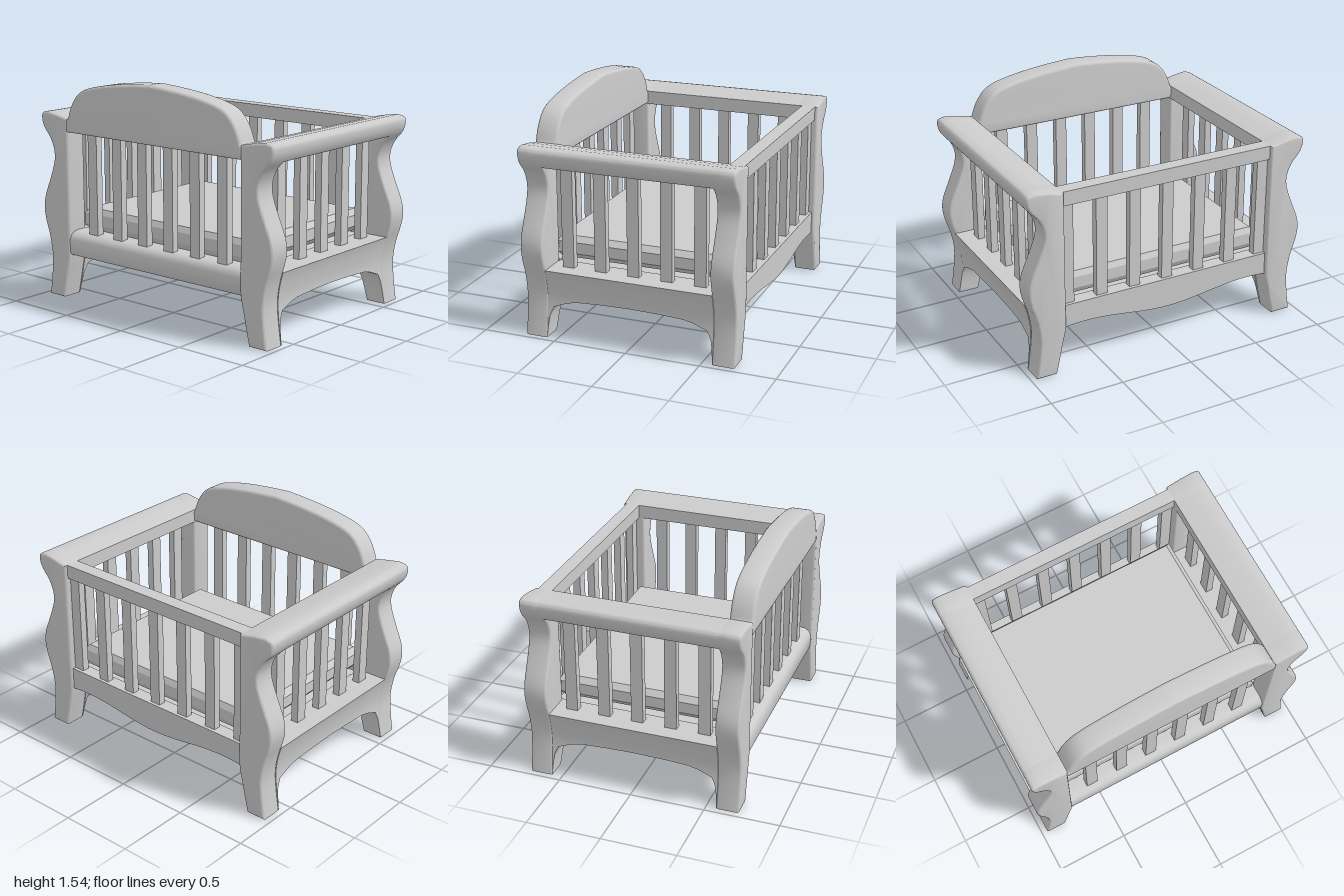
import * as THREE from 'three';
import { toCreasedNormals } from 'three/addons/utils/BufferGeometryUtils.js';

const material = new THREE.MeshStandardMaterial({ color: 0xcccccc, side: THREE.DoubleSide });
const vec = ([x, y]) => new THREE.Vector2(x, y);
const spline = (points, n) => new THREE.SplineCurve(points.map(vec)).getPoints(n);

// Outer edge of the end panels, from the foot to the scrolled top
const outerEdge = spline([[0.96, 0], [0.94, 0.14], [0.93, 0.28], [0.95, 0.41], [0.985, 0.52], [1, 0.61], [0.985, 0.7],
  [0.93, 0.83], [0.89, 0.94], [0.887, 1.02], [0.92, 1.1], [0.975, 1.165], [0.998, 1.22], [0.993, 1.27], [0.94, 1.285]], 56);
const innerEdge = [[0.82, 0], [0.795, 0.11], [0.772, 0.22], [0.755, 0.29], [0.75, 0.34], [0.75, 1.25]].map(vec);

// Piecewise linear x on an edge at height y
function edgeX(edge, y) {
  const i = Math.max(1, edge.findIndex((p) => p.y >= y));
  const a = edge[i - 1], b = edge[i];
  return a.x + (b.x - a.x) * (y - a.y) / (b.y - a.y);
}

function addMesh(parent, name, geometry) {
  const mesh = new THREE.Mesh(geometry, material);
  mesh.name = name;
  parent.add(mesh);
  return mesh;
}

function addBox(parent, name, size, position) {
  addMesh(parent, name, new THREE.BoxGeometry(...size)).position.set(...position);
}

// Extrude an x-y outline from z0 to z1, easing the edges inside the outline
function slab(points, z0, z1, bevel = 0) {
  const geometry = new THREE.ExtrudeGeometry(new THREE.Shape(points), {
    depth: z1 - z0 - 2 * bevel, bevelEnabled: bevel > 0, bevelSize: bevel,
    bevelThickness: bevel, bevelOffset: -bevel, bevelSegments: 3,
  });
  geometry.translate(0, 0, z0 + bevel);
  return toCreasedNormals(geometry, 0.7);
}

// Lower end rail: a bar whose underside arches between the legs
function archedRail() {
  const arch = [[0, 0.57], [0.07, 0.565], [0.15, 0.555], [0.21, 0.53], [0.245, 0.44], [0.262, 0.37],
    [0.271, 0.2], [0.275, 0]].map(([y, z]) => new THREE.Vector2(y, -z));
  const rows = 12;
  const outline = [];
  for (let i = 0; i <= rows; i++) outline.push(new THREE.Vector2(1, i / rows));
  for (let i = rows; i >= 0; i--) outline.push(new THREE.Vector2(0, i / rows));
  const geometry = new THREE.ExtrudeGeometry(new THREE.Shape(outline), { depth: 1, steps: 40, bevelEnabled: false });
  const p = geometry.attributes.position;
  for (let i = 0; i < p.count; i++) {
    const z = 0.57 * Math.sin((p.getZ(i) - 0.5) * Math.PI);
    const low = edgeX(arch, -Math.abs(z));
    const y = low + p.getY(i) * (0.467 - low);
    const inner = edgeX(innerEdge, y), outer = edgeX(outerEdge, y);
    p.setXYZ(i, inner + p.getX(i) * (outer - inner), y, z);
  }
  return toCreasedNormals(geometry, 0.7);
}

// End panel: two shaped posts, rails and five slats
function endPanel(name, side) {
  const group = new THREE.Group();
  group.name = name;
  const top = new THREE.Vector2(0.85, 1.272);
  const post = [...outerEdge, top, ...[...innerEdge].reverse()];
  const rail = [vec([0.75, 1.155]), vec([edgeX(outerEdge, 1.155), 1.155]),
    ...outerEdge.filter((p) => p.y > 1.156), top, vec([0.75, 1.25])];
  const parts = [
    ['frontPost', slab(post, 0.567, 0.722, 0.015)],
    ['backPost', slab(post, -0.722, -0.567, 0.015)],
    ['endTopRail', slab(rail, -0.6, 0.6)],
    ['endBottomRail', archedRail()],
  ];
  for (const [partName, geometry] of parts) {
    if (side < 0) mirrorX(geometry);
    addMesh(group, partName, geometry);
  }
  for (let i = -2; i <= 2; i++) addBox(group, 'endSlat', [0.05, 0.74, 0.08], [side * 0.835, 0.81, i * 0.226]);
  return group;
}

// Mirror in x and restore the winding of each triangle
function mirrorX(geometry) {
  geometry.scale(-1, 1, 1);
  for (const attribute of Object.values(geometry.attributes)) {
    const { array, itemSize: n } = attribute;
    for (let i = 0; i < array.length; i += 3 * n) {
      const second = array.slice(i + n, i + 2 * n);
      array.copyWithin(i + n, i + 2 * n, i + 3 * n);
      array.set(second, i + 2 * n);
    }
  }
}

export function createModel() {
  const crib = new THREE.Group();
  crib.name = 'crib';
  crib.add(endPanel('leftEnd', 1), endPanel('rightEnd', -1));

  // Arched headboard
  const half = spline([[0.75, 1.25], [0.715, 1.34], [0.655, 1.42], [0.57, 1.467], [0.4, 1.505], [0.2, 1.53], [0, 1.545]], 24);
  const headboard = [vec([-0.765, 1.158]), vec([0.765, 1.158]), vec([0.765, 1.24]), ...half,
    ...half.slice(0, -1).reverse().map((p) => vec([-p.x, p.y])), vec([-0.765, 1.24])];
  addMesh(crib, 'headboard', slab(headboard, 0.567, 0.722, 0.02));

  // Front rail with a rounded upper edge, turned to run along x
  const section = [[0.56, 0.31], [0.7, 0.31], [0.715, 0.33], [0.715, 0.42], [0.703, 0.45], [0.675, 0.47], [0.64, 0.476], [0.56, 0.476]]
    .map(([z, y]) => vec([-z, y])).reverse();
  addMesh(crib, 'frontBottomRail', slab(section, -0.77, 0.77)).rotation.y = Math.PI / 2;

  // Back rail and apron with a wavy lower edge
  addBox(crib, 'backTopRail', [1.54, 0.095, 0.095], [0, 1.2025, -0.6525]);
  const wave = [];
  for (let i = 0; i <= 32; i++) {
    const x = -0.77 + i * 1.54 / 32;
    wave.push(vec([x, 0.295 - 0.028 * Math.cos(x * Math.PI / 0.6)]));
  }
  addMesh(crib, 'backApron', slab([...wave, vec([0.77, 0.47]), vec([-0.77, 0.47])], -0.7, -0.605));

  // Upright slats
  for (let i = 0; i < 6; i++) addBox(crib, 'frontSlat', [0.08, 0.74, 0.05], [(i - 2.5) * 0.2265, 0.82, 0.645]);
  for (let i = -3; i <= 3; i++) addBox(crib, 'backSlat', [0.078, 0.74, 0.05], [i * 0.237, 0.81, -0.6525]);

  // Base panel and chamfered mattress
  addBox(crib, 'basePanel', [1.53, 0.17, 1.2], [0, 0.365, -0.015]);
  const mattress = new THREE.BoxGeometry(1.46, 0.152, 1.19, 1, 3, 1);
  const p = mattress.attributes.position;
  for (let i = 0; i < p.count; i++) {
    const y = p.getY(i);
    if (Math.abs(y) > 0.07) p.setXYZ(i, p.getX(i) * 0.955, y, p.getZ(i) * 0.965);
    else p.setY(i, Math.sign(y) * 0.038);
  }
  addMesh(crib, 'mattress', toCreasedNormals(mattress, 0.3)).position.set(0, 0.552, -0.005);
  return crib;
}
